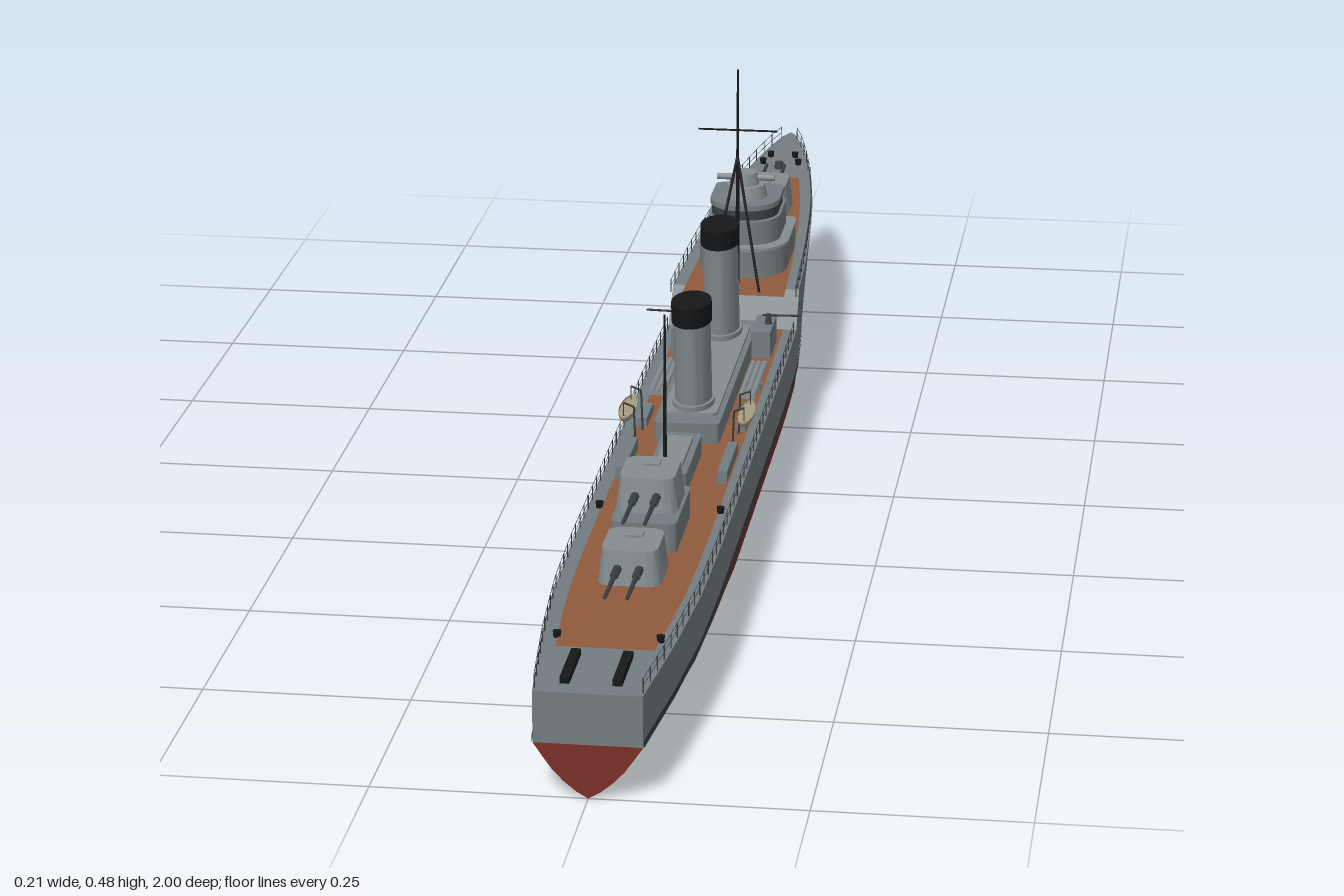
import * as THREE from 'three';
import { mergeGeometries, toCreasedNormals } from 'three/addons/utils/BufferGeometryUtils.js';

const mat = (color) => new THREE.MeshStandardMaterial({ color, side: THREE.DoubleSide });
const M = {
  grey: mat(0x737c80), light: mat(0x858d91), dark: mat(0x3a4044), red: mat(0x7a2f27),
  wood: mat(0x8f5a3c), black: mat(0x16171a), boat: mat(0xa89b80),
};
const V = (x, y, z) => new THREE.Vector3(x, y, z);
const STEP = -0.29; // forecastle break

// piecewise linear lookup
function lerpTable(t, z) {
  for (let i = 1; i < t.length; i++) {
    if (z <= t[i][0]) {
      const [z0, v0] = t[i - 1], [z1, v1] = t[i];
      return v0 + (v1 - v0) * (z - z0) / (z1 - z0);
    }
  }
  return t[t.length - 1][1];
}
const beam = (z) => lerpTable([[-1, 0], [-0.98, 0.011], [-0.94, 0.023], [-0.88, 0.037], [-0.8, 0.052],
  [-0.7, 0.065], [-0.6, 0.074], [-0.45, 0.083], [-0.3, 0.088], [-0.15, 0.09], [0.55, 0.09],
  [0.7, 0.087], [0.85, 0.077], [1, 0.0625]], z);
const waterline = (z) => beam(z) * lerpTable([[-1, 0.45], [-0.85, 0.62], [-0.6, 0.85], [-0.3, 1], [1, 1]], z);
const fullness = (z) => lerpTable([[-1, 0], [-0.7, 0.35], [-0.35, 0.9], [-0.2, 1], [0.35, 1], [0.7, 0.6], [1, 0]], z);
const deckY = (z, raised) => (raised ? lerpTable([[-1, 0.2], [-0.8, 0.188], [-0.6, 0.18], [STEP, 0.171]], z) : 0.127);

// surface through rows of points, running towards +z
function loft(rows, crease = 0.5) {
  const n = rows[0].length, idx = [];
  for (let i = 0; i < rows.length - 1; i++) for (let j = 0; j < n - 1; j++) {
    const a = i * n + j, b = a + n;
    idx.push(a, b, a + 1, a + 1, b, b + 1);
  }
  const g = new THREE.BufferGeometry();
  g.setAttribute('position', new THREE.Float32BufferAttribute(rows.flat().flatMap((p) => [p.x, p.y, p.z]), 3));
  g.setIndex(idx);
  return toCreasedNormals(g, crease);
}
const range = (a, b, n) => Array.from({ length: n + 1 }, (_, i) => a + (b - a) * i / n);
const mirrorRow = (half) => [...half, ...half.slice().reverse().map((p) => V(-p.x, p.y, p.z))];

// thin round bar between two points
function rod(a, b, r, sides = 5, r2 = r) {
  const d = b.clone().sub(a);
  const g = new THREE.CylinderGeometry(r2, r, d.length(), sides);
  g.applyQuaternion(new THREE.Quaternion().setFromUnitVectors(V(0, 1, 0), d.normalize()));
  return g.translate((a.x + b.x) / 2, (a.y + b.y) / 2, (a.z + b.z) / 2);
}
const box = (w, h, d, x, y, z) => new THREE.BoxGeometry(w, h, d).translate(x, y + h / 2, z);
const drum = (r0, r1, h, x, y, z, n = 24) => new THREE.CylinderGeometry(r1, r0, h, n).translate(x, y + h / 2, z);

// upright block with rounded corners; front radius fr, back radius br, narrowing to `top`
function house(w, h, d, y, z, fr, br = fr, top = 1) {
  const s = new THREE.Shape(), a = w / 2, b = d / 2;
  s.moveTo(-a, -b + br);
  s.absarc(-a + br, -b + br, br, Math.PI, 1.5 * Math.PI);
  s.absarc(a - br, -b + br, br, 1.5 * Math.PI, 2 * Math.PI);
  s.absarc(a - fr, b - fr, fr, 0, Math.PI / 2);
  s.absarc(-a + fr, b - fr, fr, Math.PI / 2, Math.PI);
  s.closePath();
  const g = new THREE.ExtrudeGeometry(s, { depth: h, bevelEnabled: false, curveSegments: 6 });
  g.rotateX(-Math.PI / 2);
  const p = g.attributes.position;
  for (let i = 0; i < p.count; i++) {
    if (p.getY(i) > h / 2) p.setXYZ(i, p.getX(i) * top, h, p.getZ(i) * top);
  }
  return toCreasedNormals(g.translate(0, y, z), 0.6);
}

export function createModel() {
  const root = new THREE.Group();
  const add = (name, material, ...geos) => {
    const list = geos.map((g) => { const k = g.index ? g.toNonIndexed() : g; k.deleteAttribute('uv'); return k; });
    const m = new THREE.Mesh(list.length > 1 ? mergeGeometries(list) : list[0], material);
    m.name = name;
    root.add(m);
  };

  // Hull: lower body, upper sides with a deck break, waterline band
  const zs = [...range(-1, -0.8, 10), ...range(-0.77, STEP, 12), ...range(STEP, 1, 30)];
  const breakAt = 24;
  const section = [[1, 0.065, 1, 0.065], [0.985, 0.046, 0.84, 0.05], [0.93, 0.029, 0.66, 0.034],
    [0.82, 0.016, 0.45, 0.02], [0.64, 0.008, 0.22, 0.008], [0, 0.001, 0, 0]];
  const lower = zs.map((z) => {
    const f = fullness(z), w = waterline(z);
    return mirrorRow(section.map(([x1, y1, x0, y0]) => V(w * (x0 + (x1 - x0) * f), y0 + (y1 - y0) * f, z)));
  });
  const closeStern = (rows) => [...rows, rows[rows.length - 1].map((p) => V(0, p.y, p.z))];
  add('lowerHull', M.red, loft(closeStern(lower)));
  const upper = zs.map((z, i) => mirrorRow([V(beam(z), deckY(z, i < breakAt - 1), z), V(waterline(z), 0.065, z)]));
  add('upperHull', M.grey, loft(closeStern(upper)));
  add('deck', M.grey, loft(zs.map((z, i) => [-1, 1].map((s) => V(s * beam(z), deckY(z, i < breakAt - 1), z)))));
  add('waterlineBand', M.dark, ...[-1, 1].map((s) => loft(range(-0.47, 1, 30).map((z) => {
    const lo = waterline(z) + 0.001, hi = lo + (beam(z) - waterline(z)) * 0.1;
    return s > 0 ? [V(hi, 0.074, z), V(lo, 0.065, z)] : [V(-lo, 0.065, z), V(-hi, 0.074, z)];
  }))));

  // Planked decks
  const planks = (a, b, raised) => loft(range(a, b, 20).map((z) =>
    [-1, 1].map((s) => V(s * (beam(z) - 0.018), deckY(z, raised) + 0.0015, z))));
  add('deckPlanking', M.wood, planks(-0.8, STEP - 0.004, true), planks(STEP + 0.004, 0.87, false));

  // Twin gun turrets, dir = direction of the barrels
  const turret = (name, y, z, dir) => {
    add(name + 'Turret', M.light, house(0.076, 0.042, 0.09, y + 0.005, z, 0.018, 0.018, 0.88),
      drum(0.032, 0.032, 0.006, 0, y, z), box(0.02, 0.004, 0.02, 0, y + 0.046, z - dir * 0.015));
    add(name + 'Barrels', M.dark, ...[-1, 1].flatMap((s) => [
      rod(V(s * 0.013, y + 0.025, z + dir * 0.03), V(s * 0.013, y + 0.028, z + dir * 0.14), 0.0036, 8, 0.0024),
      rod(V(s * 0.013, y + 0.025, z + dir * 0.035), V(s * 0.013, y + 0.026, z + dir * 0.065), 0.0055, 8)]));
  };
  turret('forward', 0.181, -0.655, -1);
  turret('upperAft', 0.165, 0.5, 1);
  turret('lowerAft', 0.128, 0.645, 1);
  add('aftGunHouse', M.grey, house(0.08, 0.038, 0.135, 0.127, 0.498, 0.01));

  // Bridge tower: tiers rounded towards the bow
  add('bridge', M.grey, house(0.122, 0.045, 0.155, 0.17, -0.442, 0.012, 0.05),
    house(0.1, 0.037, 0.125, 0.213, -0.442, 0.012, 0.045),
    house(0.096, 0.007, 0.115, 0.264, -0.442, 0.012, 0.045));
  add('bridgeLedge', M.light, house(0.126, 0.004, 0.16, 0.213, -0.442, 0.012, 0.052));
  add('bridgeWindows', M.dark, house(0.092, 0.015, 0.11, 0.25, -0.442, 0.012, 0.043));
  add('rangefinder', M.light, drum(0.03, 0.026, 0.018, 0, 0.27, -0.44), drum(0.018, 0.016, 0.018, 0, 0.287, -0.44),
    rod(V(-0.04, 0.297, -0.44), V(0.04, 0.297, -0.44), 0.0045, 8));

  // Masts and rigging spars
  add('foremast', M.black, rod(V(0, 0.17, -0.345), V(0, 0.477, -0.345), 0.0035, 6, 0.0014),
    rod(V(-0.054, 0.392, -0.345), V(0.054, 0.392, -0.345), 0.0014),
    ...[-1, 1].map((s) => rod(V(s * 0.035, 0.17, -0.308), V(0, 0.355, -0.344), 0.002)));
  add('mainmast', M.black, rod(V(0, 0.127, 0.375), V(0, 0.365, 0.375), 0.003, 6, 0.0014));

  // Raked oval funnels with dark caps
  const oval = (y0, y1, r, z0, zAt) => {
    const g = new THREE.CylinderGeometry(r, r, y1 - y0, 28).scale(1, 1, 1.62).translate(0, (y0 + y1) / 2, 0);
    const p = g.attributes.position;
    for (let i = 0; i < p.count; i++) p.setZ(i, p.getZ(i) + z0 + (p.getY(i) - zAt) * 0.16);
    return toCreasedNormals(g, 0.6);
  };
  [['forward', -0.18, 0.318], ['aft', 0.105, 0.303]].forEach(([n, z, top]) => {
    add(n + 'Funnel', M.light, oval(0.15, top - 0.025, 0.0235, z, 0.15), oval(0.157, 0.166, 0.027, z, 0.15));
    add(n + 'FunnelCap', M.black, oval(top - 0.027, top, 0.0255, z, 0.15));
  });

  // Deckhouses amidships
  add('midshipsDeckhouse', M.grey, house(0.084, 0.028, 0.42, 0.127, -0.03, 0.008));
  add('midshipsRoof', M.light, house(0.07, 0.004, 0.36, 0.155, -0.03, 0.008));
  add('aftDeckhouse', M.grey, house(0.05, 0.028, 0.15, 0.127, 0.29, 0.005));
  add('skylight', M.light, box(0.034, 0.006, 0.1, 0, 0.154, 0.29));

  // Paired fittings on both sides
  [[1, 'left'], [-1, 'right']].forEach(([s, side]) => {
    add(side + 'TorpedoTubes', M.light, drum(0.012, 0.012, 0.009, s * 0.059, 0.127, -0.04, 16),
      ...[-1, 0, 1].map((k) => rod(V(s * 0.059 + k * 0.0075, 0.141, -0.105), V(s * 0.059 + k * 0.0075, 0.141, 0.03), 0.0042, 8)));
    add(side + 'GunPlatform', M.grey, box(0.026, 0.038, 0.075, s * 0.054, 0.127, -0.2));
    add(side + 'DeckLockers', M.grey, box(0.012, 0.017, 0.11, s * 0.064, 0.127, 0.265),
      box(0.012, 0.014, 0.06, s * 0.064, 0.127, 0.1));
    add(side + 'LightGun', M.dark, drum(0.005, 0.003, 0.014, s * 0.06, 0.165, -0.2, 10),
      rod(V(s * 0.052, 0.177, -0.2), V(s * 0.105, 0.178, -0.2), 0.0016));
    // open boat hung on davits
    const hull = new THREE.SphereGeometry(1, 16, 8, 0, Math.PI * 2, Math.PI / 2, Math.PI / 2);
    add(side + 'Boat', M.boat, hull.scale(0.011, 0.014, 0.045).translate(s * 0.076, 0.171, 0.17),
      new THREE.CircleGeometry(1, 16).rotateX(-Math.PI / 2).scale(0.01, 1, 0.043).translate(s * 0.076, 0.169, 0.17));
    add(side + 'Davits', M.dark, ...[0.138, 0.202].flatMap((z) => [
      rod(V(s * 0.062, 0.127, z), V(s * 0.064, 0.182, z), 0.0014),
      rod(V(s * 0.064, 0.182, z), V(s * 0.077, 0.187, z), 0.0014),
      rod(V(s * 0.077, 0.187, z), V(s * 0.077, 0.168, z), 0.0007)]));
    // stern racks, bow bollards and hawse pipe
    add(side + 'SternRack', M.black, box(0.011, 0.008, 0.085, s * 0.03, 0.127, 0.932));
    add(side + 'Bollards', M.black, ...[[-0.89, 0.018, true], [-0.86, 0.026, true], [0.84, 0.06, false], [0.42, 0.075, false]]
      .map(([z, x, r]) => drum(0.004, 0.005, 0.008, s * x, deckY(z, r), z, 10)));
    // guard rail with posts
    const rail = (a, b, n, raised) => {
      const pts = range(a, b, n).map((z) => V(s * (beam(z) - 0.002), deckY(z, raised), z));
      const up = (p, h) => V(p.x, p.y + h, p.z);
      return pts.flatMap((p, i) => [rod(p, up(p, 0.018), 0.0007, 4),
        ...(i ? [0.009, 0.0175].map((h) => rod(up(pts[i - 1], h), up(p, h), 0.0004, 3)) : [])]);
    };
    add(side + 'GuardRail', M.dark, ...rail(-0.97, STEP - 0.01, 20, true), ...rail(STEP + 0.02, 0.99, 38, false));
  });
  add('capstans', M.dark, drum(0.007, 0.006, 0.01, 0, 0.191, -0.84, 14));
  return root;
}
